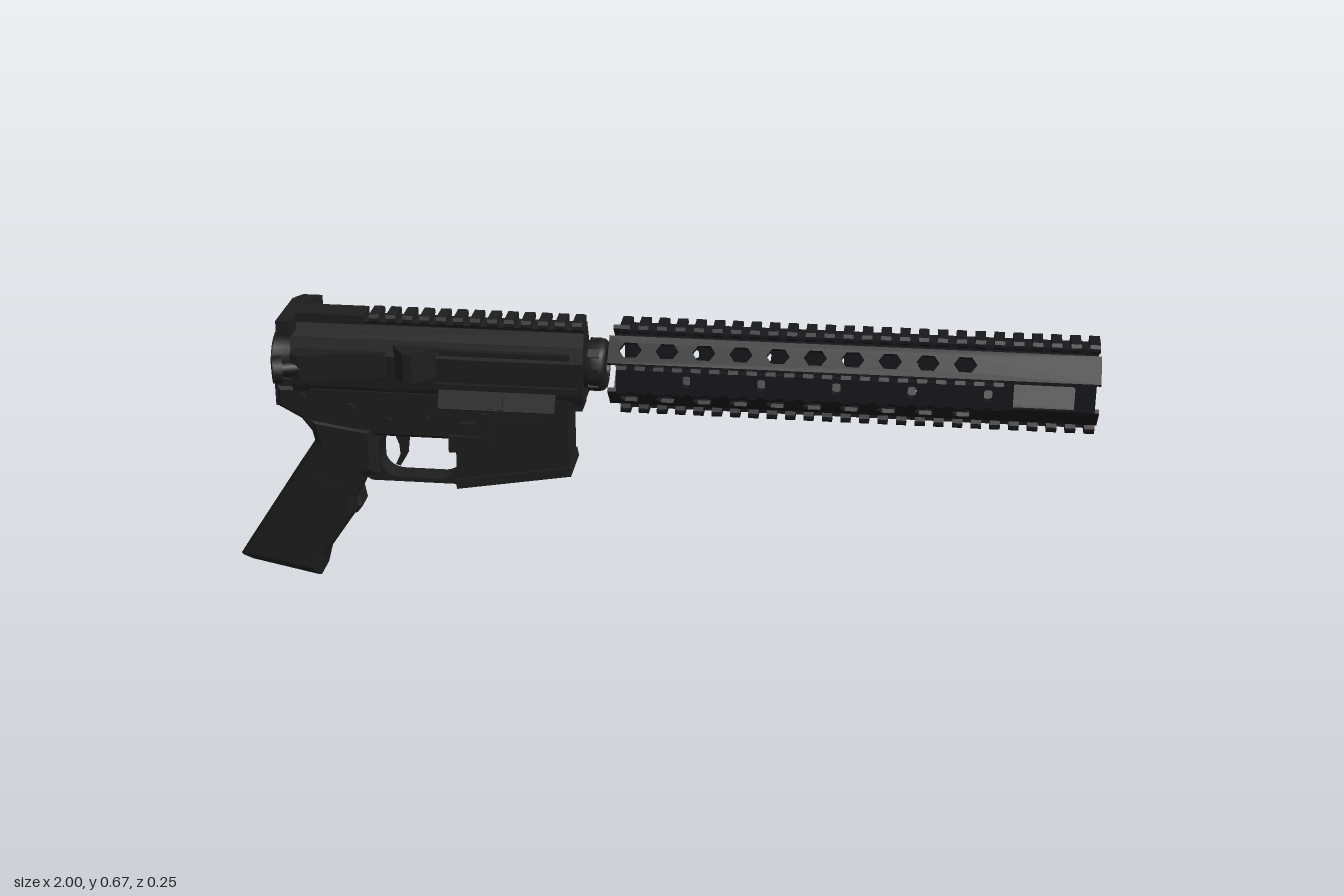
import * as THREE from 'three';

export function createModel() {
  const root = new THREE.Group();
  const g = new THREE.Group();
  g.name = 'body';
  g.position.z = -0.015;
  root.add(g);

  const dark = new THREE.MeshStandardMaterial({ color: 0x1e1e1e });
  dark.name = 'receiver black';
  const railMat = new THREE.MeshStandardMaterial({ color: 0x19181a });
  railMat.name = 'handguard black';

  const add = (name, geo, mat = dark, x = 0, y = 0, z = 0) => {
    const m = new THREE.Mesh(geo, mat);
    m.name = name;
    m.position.set(x, y, z);
    g.add(m);
    return m;
  };
  const poly = (pts) => new THREE.Shape(pts.map((p) => new THREE.Vector2(p[0], p[1])));
  // Side profile (x, y) extruded symmetrically in z, with an optional chamfer
  const side = (shape, w, b = 0) =>
    new THREE.ExtrudeGeometry(shape, {
      depth: w - 2 * b, bevelEnabled: b > 0, bevelThickness: b, bevelSize: b,
      bevelOffset: -b, bevelSegments: b > 0.015 ? 2 : 1, curveSegments: 8,
    }).translate(0, 0, b - w / 2);
  // Cross-section (z, y) extruded from x0 to x1
  const alongX = (pts, x0, x1) =>
    new THREE.ExtrudeGeometry(poly(pts.map(([z, y]) => [-z, y])), { depth: x1 - x0, bevelEnabled: false })
      .rotateY(Math.PI / 2).translate(x0, 0, 0);
  const mirrored = (half) => [...half, ...half.map(([z, y]) => [-z, y]).reverse()];
  // Box given by its limits
  const box = (name, x0, x1, y0, y1, z0, z1, mat = dark) =>
    add(name, new THREE.BoxGeometry(x1 - x0, y1 - y0, z1 - z0), mat, (x0 + x1) / 2, (y0 + y1) / 2, (z0 + z1) / 2);
  const pin = (name, x, y, z, r, h, n = 12) =>
    add(name, new THREE.CylinderGeometry(r, r, h, n).rotateX(Math.PI / 2), dark, x, y, z);
  const latheX = (pts, n) =>
    new THREE.LatheGeometry(pts.map((p) => new THREE.Vector2(p[0], p[1])), n).toNonIndexed().rotateZ(-Math.PI / 2);

  // ---- Handguard: eight pierced strips around the x axis
  const CY = 0.573, A = 0.083, HW = A * Math.tan(Math.PI / 8), PITCH = 0.042;
  const roundHoles = [0, 1, 2, 3, 4].map((i) => 0.082 + i * 4 * PITCH);
  const hole = (x, r) => new THREE.Path().absarc(x, 0, r, 0, Math.PI * 2, true);
  const strip = (x0, x1, hw, t, r, holes) => {
    const s = poly([[x0, -hw], [x1, -hw], [x1, hw], [x0, hw]]);
    s.holes.push(...holes);
    return new THREE.ExtrudeGeometry(s, { depth: t, bevelEnabled: false, curveSegments: 6 }).translate(0, 0, r);
  };
  for (let k = 0; k < 8; k++) {
    const holes = [];
    if (k % 2) {
      for (let i = 0; i < 10; i++) {
        const x = -0.05 + i * 0.0835;
        holes.push(poly([[x - 0.026, 0], [x - 0.014, 0.018], [x + 0.014, 0.018],
          [x + 0.026, 0], [x + 0.014, -0.018], [x - 0.014, -0.018]]));
      }
    } else if (k % 4 === 0) {
      roundHoles.forEach((x) => holes.push(hole(x, 0.015)));
      holes.push(poly([[0.81, -0.03], [0.945, -0.03], [0.945, 0.022], [0.935, 0.03], [0.81, 0.03]]));
    }
    const geo = strip(k % 2 ? -0.1 : -0.08, k % 2 ? 1 : 0.99, HW, 0.01, A - 0.01, holes);
    add('handguardPanel', geo.rotateX(-k * Math.PI / 4), railMat, 0, CY, 0);
  }
  // Filler behind the far window
  add('windowFiller', side(poly([[0.815, 0.54], [0.95, 0.54], [0.95, 0.6], [0.865, 0.6], [0.83, 0.575]]), 0.008),
    railMat, 0, 0, -0.068);

  // Accessory rails: a base strip plus chamfered teeth
  const toothProfile = mirrored([[0.024, 0.084], [0.036, 0.093], [0.036, 0.1], [0.029, 0.107]]);
  const tooth = alongX(toothProfile, -0.0115, 0.0115);
  for (let k = 0; k < 4; k++) {
    const upright = k % 2 === 1;
    const count = upright ? 26 : 21;
    const angle = -k * Math.PI / 2;
    const base = strip(-0.075, upright ? 0.99 : 0.8, 0.026, 0.012, A - 0.001,
      upright ? [] : roundHoles.map((x) => hole(x, 0.015)));
    add('railBase', base.rotateX(angle), railMat, 0, CY, 0);
    for (let i = 0; i < count; i++) {
      const m = add('railTooth', tooth, railMat, -0.065 + i * PITCH, CY, 0);
      m.rotation.x = angle + Math.PI / 2;
    }
  }

  // ---- Upper receiver
  add('upperReceiver', alongX(mirrored([[0.05, 0.485], [0.058, 0.51], [0.06, 0.59], [0.045, 0.625], [0.03, 0.655]]), -0.84, -0.16));
  add('upperRailBase', alongX(mirrored([[0.022, 0.64], [0.03, 0.662]]), -0.83, -0.16));
  box('rearRailBlock', -0.83, -0.67, 0.655, 0.677, -0.032, 0.032);
  for (let i = 0; i < 13; i++) add('upperRailTooth', tooth, dark, -0.645 + i * 0.0392, CY, 0);
  add('barrelNut', latheX([[0.022, -0.17], [0.055, -0.17], [0.055, -0.15], [0.06, -0.145], [0.06, -0.118],
    [0.053, -0.11], [0.022, -0.11], [0.022, -0.17]], 16), dark, 0, 0.57, 0);
  box('boltFace', -0.168, -0.16, 0.54, 0.6, -0.03, 0.03);
  for (let i = 0; i < 8; i++) {
    const a = i * Math.PI / 4;
    box('nutLug', -0.15, -0.125, 0.56, 0.58, -0.006, 0.006).position.set(-0.137, 0.57 + 0.056 * Math.sin(a), 0.056 * Math.cos(a));
    g.children[g.children.length - 1].rotation.x = -a;
  }

  // Ejection port frame, its closed bolt and the hinged cover hanging open
  box('portFrameTop', -0.49, -0.19, 0.6, 0.612, 0.05, 0.066);
  box('portFrameBottom', -0.5, -0.17, 0.517, 0.532, 0.05, 0.07);
  box('boltCarrier', -0.46, -0.22, 0.545, 0.59, 0.05, 0.064);
  const cover = box('portCover', -0.49, -0.22, 0.478, 0.522, 0.079, 0.089);
  cover.rotation.x = -0.5;
  box('coverLatch', -0.38, -0.34, 0.485, 0.515, 0.088, 0.098).rotation.x = -0.5;

  // Brass deflector: wedge seen from above
  const plan = (pts, y0, y1) =>
    new THREE.ExtrudeGeometry(poly(pts), { depth: y1 - y0, bevelEnabled: false }).rotateX(Math.PI / 2).translate(0, y1, 0);
  add('deflector', plan([[-0.6, 0.05], [-0.49, 0.05], [-0.545, 0.108], [-0.565, 0.108]], 0.545, 0.615));
  // Forward assist housing and button
  add('assistHousing', plan([[-0.83, 0.04], [-0.6, 0.04], [-0.62, 0.062], [-0.81, 0.105], [-0.83, 0.1]], 0.54, 0.6));
  const assist = new THREE.Group();
  assist.name = 'forwardAssist';
  assist.position.set(-0.835, 0.565, 0.098);
  assist.rotation.y = 0.35;
  g.add(assist);
  [[0.016, 0.05, 0], [0.031, 0.022, -0.026]].forEach(([r, h, x]) => {
    const m = new THREE.Mesh(new THREE.CylinderGeometry(r, r * 1.05, h, 10).rotateZ(Math.PI / 2), dark);
    m.name = 'assistButton';
    m.position.x = x;
    assist.add(m);
  });

  // Charging handle and latch
  box('chargingHandle', -0.862, -0.828, 0.638, 0.675, -0.07, 0.085);
  box('chargingShaft', -0.84, -0.7, 0.635, 0.66, -0.02, 0.02);
  add('chargingLatch', plan([[-0.86, -0.03], [-0.86, -0.085], [-0.845, -0.105], [-0.8, -0.105], [-0.8, -0.092],
    [-0.825, -0.08], [-0.83, -0.03]].reverse(), 0.632, 0.672));

  // Rear ring, open at the back
  add('rearRing', latheX([[0.05, -0.8], [0.05, -0.885], [0.066, -0.885], [0.072, -0.878], [0.072, -0.8]].reverse(), 24), dark, 0, 0.556, 0);
  add('rearRingFloor', new THREE.CylinderGeometry(0.052, 0.052, 0.02, 24).rotateZ(Math.PI / 2), dark, -0.83, 0.556, 0);
  box('rearLug', -0.885, -0.8, 0.45, 0.515, -0.045, 0.045);

  // ---- Lower receiver
  add('lowerReceiver', side(poly([[-0.88, 0.5], [-0.88, 0.45], [-0.826, 0.42], [-0.8, 0.385], [-0.46, 0.385], [-0.44, 0.39], [-0.44, 0.5]]), 0.104, 0.008));
  box('pivotLug', -0.215, -0.165, 0.465, 0.5, -0.035, 0.035);

  // Hollow magazine well with a flared, sloping lip
  const wall = side(poly([[-0.46, 0.27], [-0.195, 0.315], [-0.195, 0.5], [-0.46, 0.5]]), 0.012);
  [-1, 1].forEach((s) => {
    add('magwellWall', wall, dark, 0, 0, s * 0.049);
    [-0.42, -0.38, -0.24].forEach((x) => box('magwellRib', x - 0.006, x + 0.006, 0.33, 0.47, s * 0.056 - 0.003, s * 0.056 + 0.003));
    box('magwellPanel', -0.36, -0.26, 0.335, 0.44, s * 0.055 - 0.002, s * 0.055 + 0.002);
    box('lowerSeam', -0.8, -0.22, 0.488, 0.5, s * 0.056 - 0.004, s * 0.056 + 0.004);
  });
  box('magwellFront', -0.21, -0.195, 0.315, 0.5, -0.05, 0.05);
  box('magwellRear', -0.46, -0.445, 0.27, 0.5, -0.05, 0.05);
  const lip = poly([[-0.137, -0.062], [0.137, -0.062], [0.137, 0.062], [-0.137, 0.062]]);
  lip.holes.push(poly([[-0.12, -0.043], [0.12, -0.043], [0.12, 0.043], [-0.12, 0.043]]));
  const lipMesh = add('magwellLip', new THREE.ExtrudeGeometry(lip, { depth: 0.022, bevelEnabled: false }).rotateX(Math.PI / 2),
    dark, -0.328, 0.31, 0);
  lipMesh.rotation.z = 0.168;

  // Trigger guard and trigger
  const guard = poly([[-0.69, 0.275], [-0.67, 0.262], [-0.45, 0.262], [-0.45, 0.4], [-0.69, 0.4]]);
  const open = new THREE.Path();
  open.moveTo(-0.648, 0.31).quadraticCurveTo(-0.64, 0.275, -0.6, 0.273).lineTo(-0.5, 0.273)
    .quadraticCurveTo(-0.462, 0.278, -0.462, 0.32).lineTo(-0.462, 0.36)
    .quadraticCurveTo(-0.465, 0.386, -0.5, 0.386).lineTo(-0.62, 0.386)
    .quadraticCurveTo(-0.648, 0.38, -0.648, 0.31);
  guard.holes.push(open);
  add('triggerGuard', side(guard, 0.055));
  add('trigger', side(poly([[-0.62, 0.39], [-0.605, 0.35], [-0.603, 0.325], [-0.615, 0.298], [-0.604, 0.295],
    [-0.588, 0.322], [-0.585, 0.35], [-0.578, 0.39]]), 0.022));

  // Grip with finger ledges and a flared foot
  add('grip', side(poly([[-0.815, 0.43], [-0.8, 0.36], [-0.86, 0.27], [-1, 0.055], [-0.97, 0.042], [-0.805, 0.008],
    [-0.79, 0.065], [-0.712, 0.18], [-0.705, 0.222], [-0.68, 0.275], [-0.648, 0.285], [-0.65, 0.41]]), 0.11, 0.02));
  add('fingerLedge', side(poly([[-0.75, 0.16], [-0.71, 0.175], [-0.697, 0.192], [-0.703, 0.225], [-0.74, 0.225]]), 0.07, 0.008));
  [-1, 1].forEach((s) => add('gripPanel', side(poly([[-0.93, 0.09], [-0.83, 0.07], [-0.73, 0.25], [-0.8, 0.28]]), 0.004), dark, 0, 0, s * 0.056));

  // Pins, selector, releases
  [[-0.62, 0.425], [-0.53, 0.435], [-0.82, 0.475], [-0.195, 0.485]].forEach(([x, y]) => pin('crossPin', x, y, 0, 0.011, 0.122));
  pin('selectorHub', -0.71, 0.45, 0, 0.017, 0.124);
  box('selectorLever', -0.72, -0.65, 0.443, 0.46, -0.072, -0.058);
  box('magazineRelease', -0.45, -0.41, 0.41, 0.435, 0.05, 0.07);
  box('releaseFence', -0.475, -0.39, 0.36, 0.4, 0.05, 0.066);
  box('releaseFenceFront', -0.395, -0.38, 0.36, 0.46, 0.05, 0.068);
  box('boltCatchPaddle', -0.47, -0.42, 0.445, 0.475, -0.07, -0.05);
  box('boltCatchStem', -0.45, -0.43, 0.39, 0.45, -0.063, -0.05);
  pin('releaseButton', -0.41, 0.41, -0.058, 0.014, 0.02);
  return root;
}
